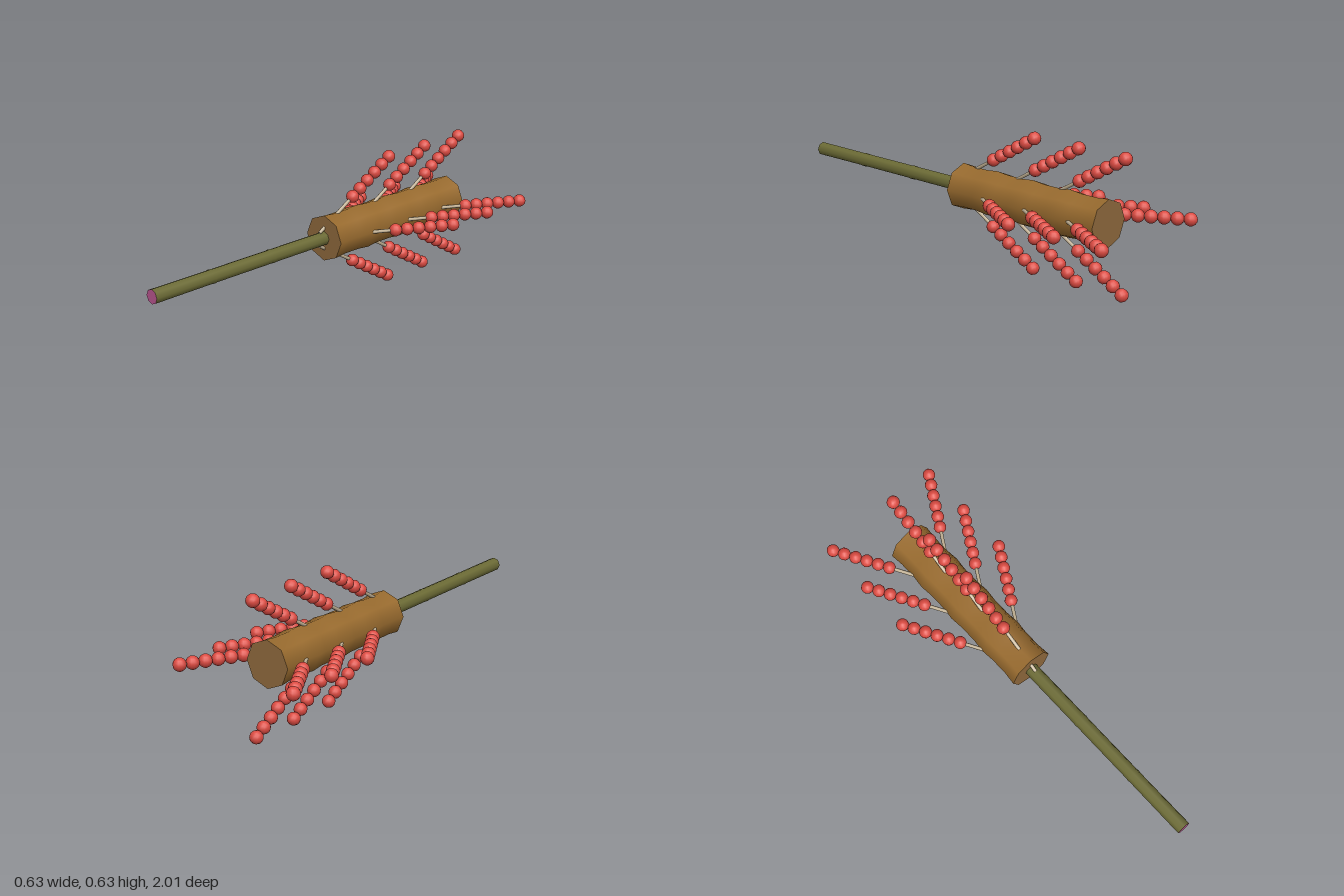
import * as THREE from 'three';

const CY = 0.314; // height of the central axis

const material = (name, color) => {
  const m = new THREE.MeshStandardMaterial({ color });
  m.name = name;
  return m;
};

export function createModel() {
  const group = new THREE.Group();
  const olive = material('olive cane', 0x6d6c36);
  const brown = material('brown bark', 0x9a6c2f);
  const cut = material('cut wood', 0x8d683c);
  const pink = material('pink end', 0xb8558f);
  const tan = material('tan stick', 0xc2b194);
  const red = material('red berry', 0xdc4b42);

  const add = (name, geometry, mat, parent = group) => {
    const mesh = new THREE.Mesh(geometry, mat);
    mesh.name = name;
    parent.add(mesh);
    return mesh;
  };

  // Eight-sided shaft along z, from [radius, z] pairs in rising z
  const shaft = (name, profile, mat) => {
    const geo = new THREE.LatheGeometry(profile.map(([r, z]) => new THREE.Vector2(r, z)), 8);
    geo.rotateX(Math.PI / 2);
    add(name, geo, mat).position.y = CY;
  };

  // Octagonal end face
  const cap = (name, radius, z, back, mat) => {
    const mesh = add(name, new THREE.CircleGeometry(radius, 8), mat);
    mesh.position.set(0, CY, z);
    if (back) mesh.rotation.y = Math.PI;
  };

  // Handle with two slight cane nodes
  shaft('handle', [
    [0.031, -0.02], [0.031, 0.35], [0.033, 0.36], [0.031, 0.37],
    [0.031, 0.68], [0.033, 0.69], [0.031, 0.7], [0.032, 1],
  ], olive);
  cap('handleEnd', 0.032, 1, false, pink);

  // Thick body: four segments, each with a slight waist
  const body = [];
  const segment = 0.205;
  for (let i = 0; i < 4; i++) {
    const z = -0.78 + i * segment;
    body.push([0.104, z], [0.098, z + segment * 0.3], [0.098, z + segment * 0.7]);
  }
  body.push([0.104, 0.04]);
  shaft('body', body, brown);
  cap('bodyFront', 0.104, 0.04, false, cut);
  cap('bodyBack', 0.104, -0.78, true, cut);

  // Berry sprigs: three rows of four, sideways pairs set further back
  const stickGeo = new THREE.CylinderGeometry(0.008, 0.008, 1, 8);
  const berryGeo = new THREE.SphereGeometry(0.029, 12, 8);
  const up = new THREE.Vector3(0, 1, 0);
  for (let row = 0; row < 3; row++) {
    for (let side = 0; side < 4; side++) {
      const sprig = new THREE.Group();
      sprig.name = 'berrySprig';
      sprig.position.set(0, CY, -0.242 * row - (side % 2 ? 0 : 0.12));
      sprig.rotation.z = side * Math.PI / 2;
      group.add(sprig);

      const start = new THREE.Vector3(0.03, 0, 0.068);
      const first = new THREE.Vector3(0.15, 0, -0.14);
      const last = new THREE.Vector3(0.285, 0, -0.374);
      const stick = add('stick', stickGeo, tan, sprig);
      stick.position.lerpVectors(start, last, 0.5);
      stick.quaternion.setFromUnitVectors(up, last.clone().sub(start).normalize());
      stick.scale.y = start.distanceTo(last);

      for (let i = 0; i < 6; i++) {
        add('berry', berryGeo, red, sprig).position.lerpVectors(first, last, i / 5);
      }
    }
  }
  return group;
}
